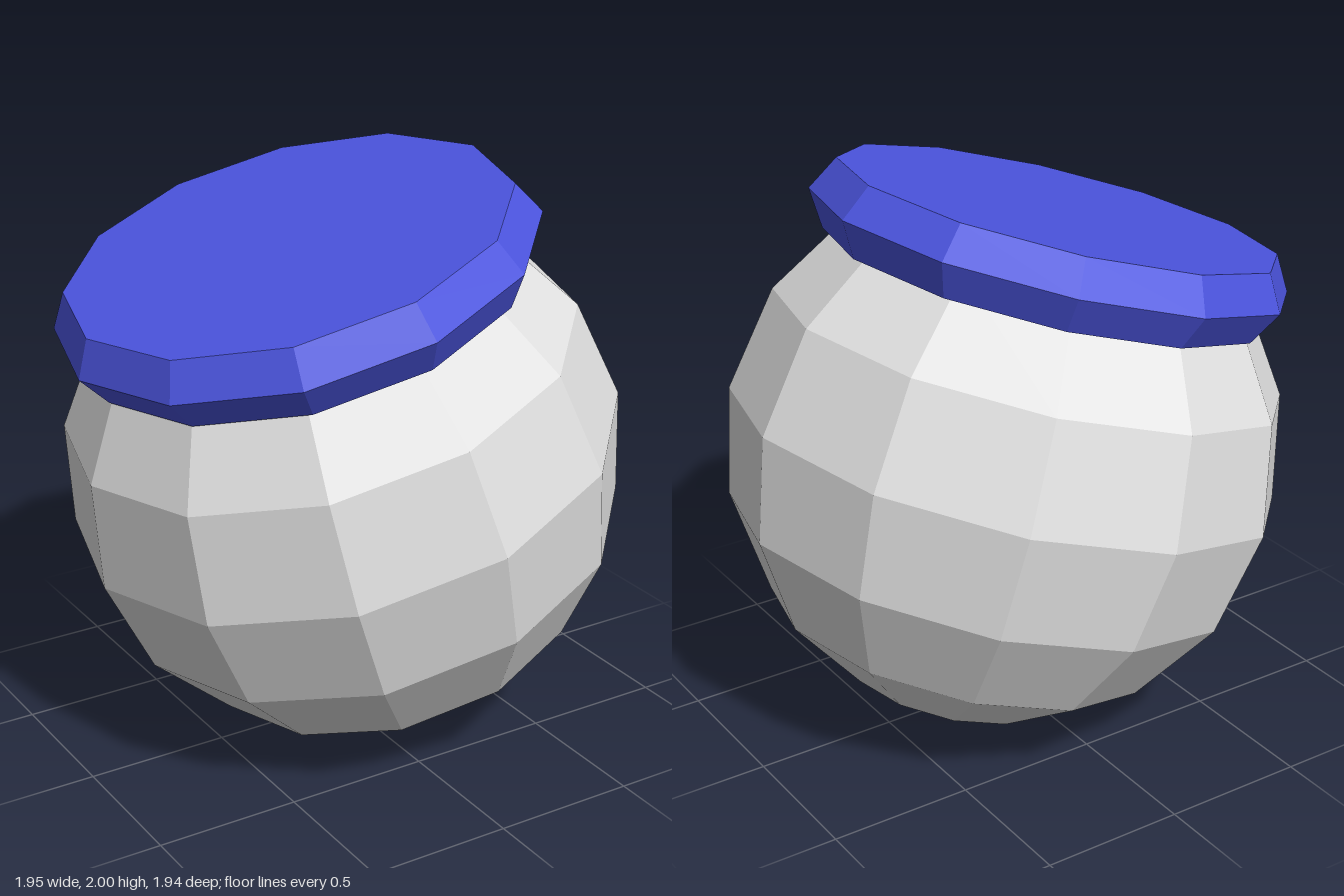
import * as THREE from 'three';

export function createModel() {
  const model = new THREE.Group();
  model.name = 'tiltedJar';
  const grey = new THREE.MeshStandardMaterial({ color: 0xe2e2e2, flatShading: true });
  grey.name = 'light grey';
  const blue = new THREE.MeshStandardMaterial({ color: 0x4c55e0, flatShading: true });
  blue.name = 'lid blue';
  const SIDES = 12;

  // Whole jar leans on its axis
  const jar = new THREE.Group();
  jar.name = 'jar';
  jar.position.set(0.006, 0.964, 0);
  jar.rotation.z = 0.28;
  model.add(jar);

  // Round body, left open where the lid hides it
  const body = new THREE.Mesh(
    new THREE.SphereGeometry(0.968, SIDES, 6, 0, Math.PI * 2, Math.PI / 4, Math.PI * 0.75), grey);
  body.name = 'body';
  jar.add(body);

  // Lid: a flat disc with a pointed rim
  const profile = [[0, 0.61], [0.76, 0.61], [0.832, 0.731], [0.764, 0.851], [0, 0.851]]
    .map(([r, y]) => new THREE.Vector2(r, y));
  const lid = new THREE.Mesh(new THREE.LatheGeometry(profile, SIDES), blue);
  lid.name = 'lid';
  lid.position.x = 0.016;
  jar.add(lid);

  return model;
}
